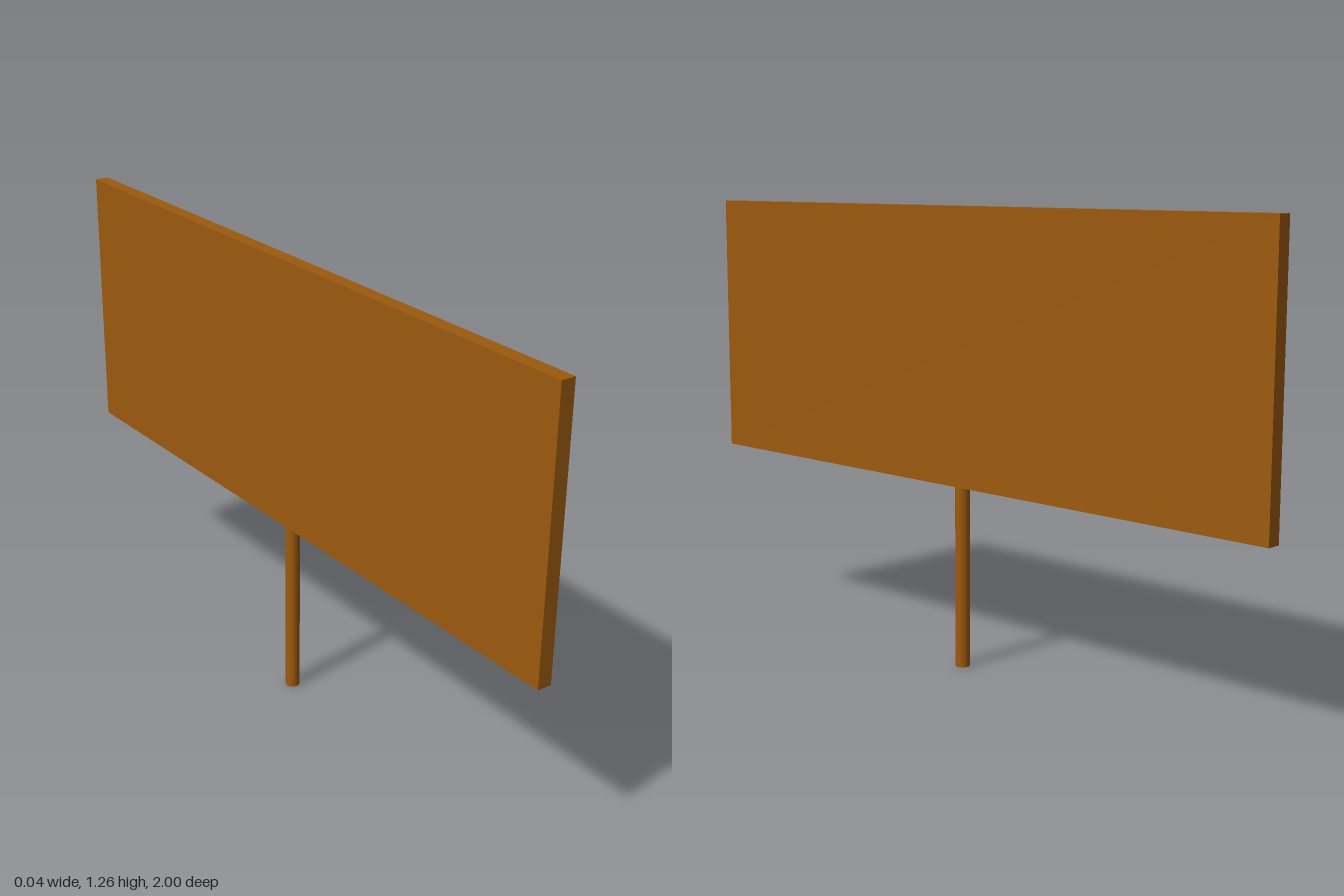
import * as THREE from 'three';

export function createModel() {
  const model = new THREE.Group();
  model.name = 'signboard';
  const wood = new THREE.MeshStandardMaterial({ color: 0x9c5a0e });

  const thickness = 0.04;
  const postHeight = 0.506;
  const panelHeight = 0.756;

  // Flat panel, broad faces towards the sides
  const panel = new THREE.Mesh(new THREE.BoxGeometry(thickness, panelHeight, 2), wood);
  panel.name = 'panel';
  panel.position.y = postHeight + panelHeight / 2;

  // Round post under the middle of the panel
  const post = new THREE.Mesh(
    new THREE.CylinderGeometry(thickness / 2, thickness / 2, postHeight, 32), wood);
  post.name = 'post';
  post.position.y = postHeight / 2;

  model.add(panel, post);
  return model;
}
